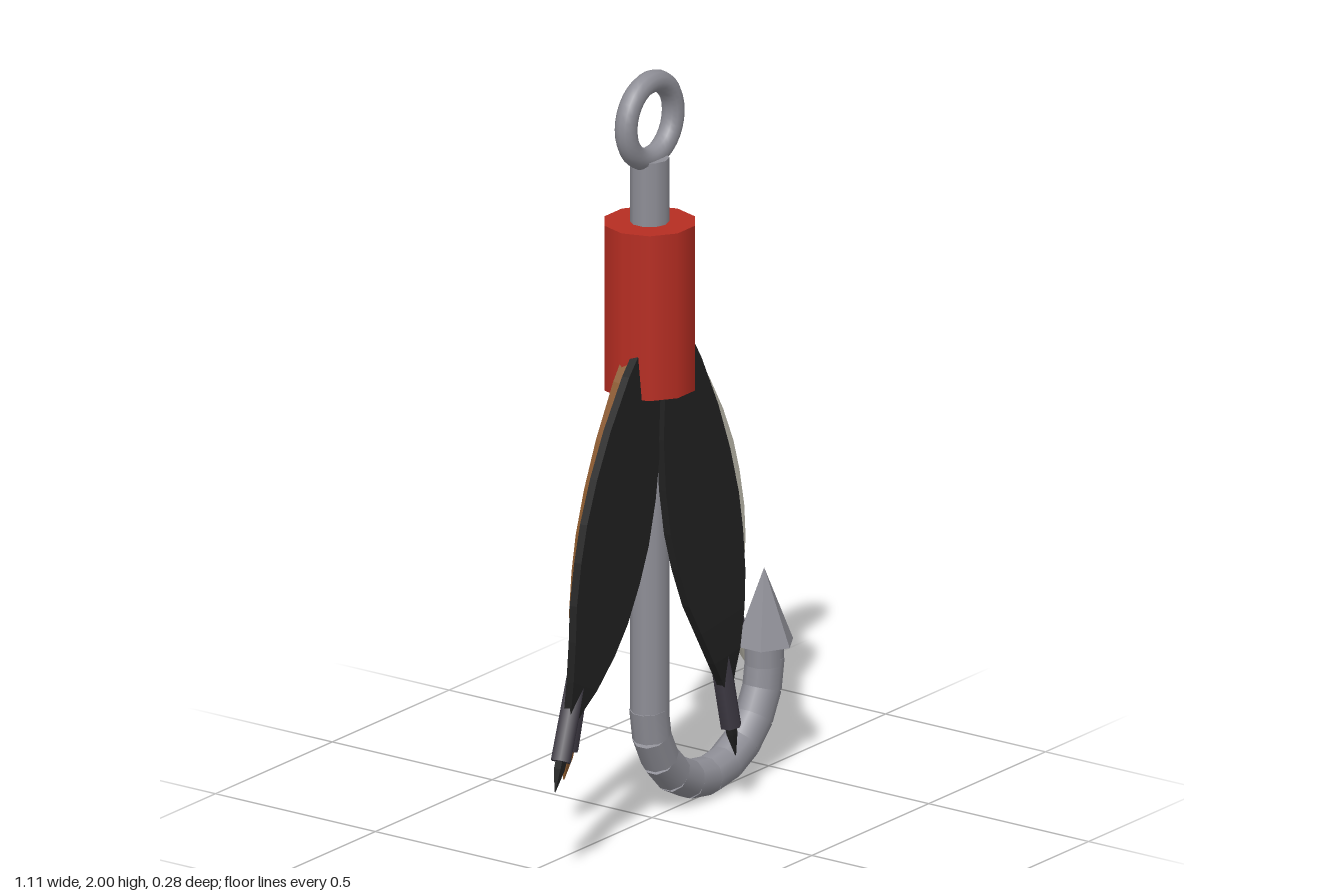
import * as THREE from 'three';

const mat = (name, color, side = THREE.FrontSide) => {
  const m = new THREE.MeshStandardMaterial({ color, side });
  m.name = name;
  return m;
};
const V = (x, y, z) => new THREE.Vector3(x, y, z);

// Feather half-width along the quill: [fraction of quill length, half-width]
const PROFILE = [
  [-0.085, 0.04], [0, 0.076], [0.15, 0.117], [0.28, 0.138], [0.4, 0.145], [0.5, 0.138], [0.61, 0.12],
  [0.7, 0.092], [0.8, 0.055], [0.86, 0.028], [0.9, 0.013], [1.02, 0.01], [1.08, 0.001],
];

// Thin closed plate lying on the front of a quill, sinking into it near the tip
function vaneGeometry(top, bottom) {
  const axis = bottom.clone().sub(top);
  const len = axis.length();
  const d = axis.clone().normalize();
  const s = V(0, 0, 1).cross(d).normalize();
  const n = d.clone().cross(s);
  const innerIsRight = bottom.x < 0;
  const rings = PROFILE.map(([t, w]) => {
    const lift = 0.024 * (1 - THREE.MathUtils.smoothstep(t, 0.72, 0.95));
    const h = Math.min(0.011, w);
    const left = -w * (innerIsRight ? 0.92 : 1.1);
    const right = w * (innerIsRight ? 1.1 : 0.92);
    return [[left, -h], [right, -h], [right, h], [left, h]].map(([a, b]) =>
      top.clone().addScaledVector(d, t * len).addScaledVector(s, a).addScaledVector(n, b + lift));
  });
  const pts = [];
  const quad = (a, b, c, e) => pts.push(a, b, c, a, c, e);
  for (let i = 0; i < rings.length - 1; i++) {
    for (let k = 0; k < 4; k++) {
      const j = (k + 1) % 4;
      quad(rings[i][k], rings[i][j], rings[i + 1][j], rings[i + 1][k]);
    }
  }
  const a = rings[0], z = rings[rings.length - 1];
  quad(a[0], a[3], a[2], a[1]);
  quad(z[0], z[1], z[2], z[3]);
  const g = new THREE.BufferGeometry().setFromPoints(pts);
  g.computeVertexNormals();
  return g;
}

export function createModel() {
  const root = new THREE.Group();
  const body = new THREE.Group();
  body.name = 'lure';
  body.position.x = -0.01;
  root.add(body);

  const steel = mat('steel', 0x8e8e96);
  const red = mat('red', 0xb62d22);
  const quillMat = mat('darkQuill', 0x3c3842);
  const black = mat('black', 0x202020);
  const brown = mat('brown', 0x8c5a2e);
  const cream = mat('cream', 0xc9c6b8);

  const add = (name, geo, material, parent = body) => {
    const m = new THREE.Mesh(geo, material);
    m.name = name;
    parent.add(m);
    return m;
  };
  // Capped cylinder between two points
  const rod = (name, a, b, r, sides, material, parent) => {
    const m = add(name, new THREE.CylinderGeometry(r, r, a.distanceTo(b), sides), material, parent);
    m.position.copy(a).add(b).multiplyScalar(0.5);
    m.quaternion.setFromUnitVectors(V(0, 1, 0), a.clone().sub(b).normalize());
    return m;
  };

  // Eye ring, shaft and collar
  add('eyeRing', new THREE.TorusGeometry(0.101, 0.029, 12, 32), steel).position.y = 1.87;
  rod('shaft', V(0, 1.77, 0), V(0, 0.29, 0), 0.05, 10, steel);
  const collar = add('collar', new THREE.CylinderGeometry(0.12, 0.12, 0.44, 10), red);
  collar.position.y = 1.38;
  collar.rotation.y = Math.PI / 2;

  // Hook bend made of short straight segments
  const hook = new THREE.Group();
  hook.name = 'hook';
  body.add(hook);
  const R = 0.245, cy = 0.3, count = 10;
  for (let i = 0; i < count; i++) {
    const ang = Math.PI * (i + 0.5) / count;
    const c = V(R - R * Math.cos(ang), cy - R * Math.sin(ang), 0);
    const t = V(Math.sin(ang), -Math.cos(ang), 0).multiplyScalar(0.041);
    rod('hookSegment', c.clone().sub(t), c.clone().add(t), 0.05, 10, steel, hook);
  }
  rod('hookNeck', V(2 * R, 0.36, 0), V(2 * R, 0.285, 0), 0.05, 10, steel, hook);

  // Six-sided barb
  const barbGeo = new THREE.ConeGeometry(0.08, 0.2, 6).toNonIndexed();
  barbGeo.computeVertexNormals();
  add('barb', barbGeo, steel, hook).position.set(2 * R, 0.44, 0);

  // Feathers: two spread wide, two hanging steeply, front and back
  const feathers = [
    ['frontRightFeather', V(-0.09, 1.2, 0.012), V(-0.518, 0.32, 0.1), black],
    ['frontLeftFeather', V(0.07, 1.2, 0.025), V(0.195, 0.22, 0.112), black],
    ['backRightFeather', V(-0.07, 1.2, -0.025), V(-0.195, 0.22, -0.112), brown],
    ['backLeftFeather', V(0.09, 1.2, -0.02), V(0.525, 0.32, -0.105), cream],
  ];
  for (const [name, top, bottom, material] of feathers) {
    const f = new THREE.Group();
    f.name = name;
    body.add(f);
    rod('quill', top, bottom, 0.028, 6, quillMat, f);
    add('vane', vaneGeometry(top, bottom), material, f);
  }
  return root;
}
